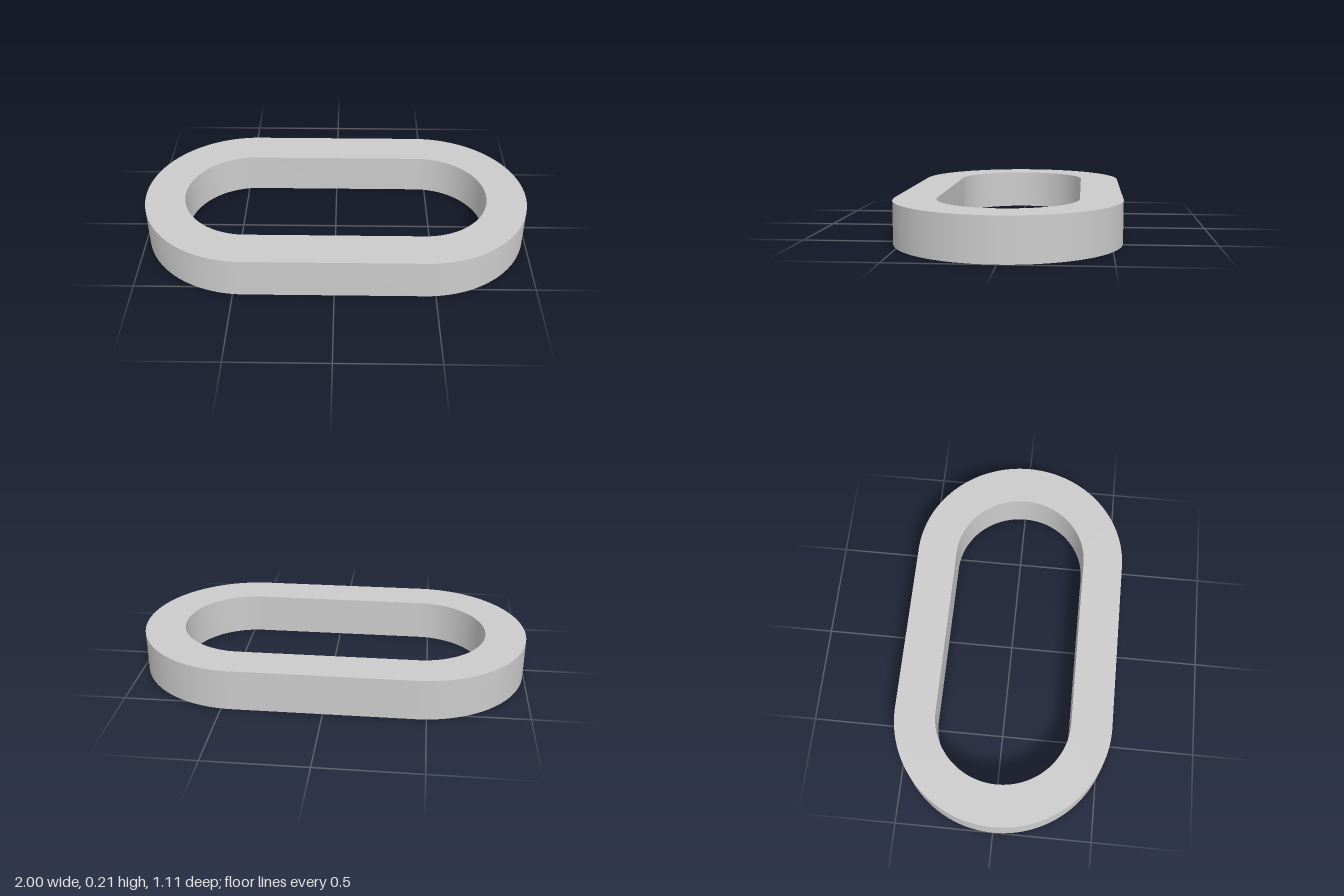
import * as THREE from 'three';
import { toCreasedNormals } from 'three/addons/utils/BufferGeometryUtils.js';

const HALF_STRAIGHT = 0.447; // distance from centre to each end's arc centre
const OUTER_RADIUS = 0.553;
const INNER_RADIUS = 0.345;
const HEIGHT = 0.21;

// Stadium outline: two half circles joined by straight sides
function traceStadium(path, radius) {
  path.absarc(HALF_STRAIGHT, 0, radius, -Math.PI / 2, Math.PI / 2, false);
  path.absarc(-HALF_STRAIGHT, 0, radius, Math.PI / 2, Math.PI * 1.5, false);
  path.closePath();
  return path;
}

export function createModel() {
  const group = new THREE.Group();
  group.name = 'chainLink';

  // Flat oblong ring with an oblong opening
  const outline = traceStadium(new THREE.Shape(), OUTER_RADIUS);
  outline.holes.push(traceStadium(new THREE.Path(), INNER_RADIUS));

  const extruded = new THREE.ExtrudeGeometry(outline, {
    depth: HEIGHT,
    bevelEnabled: false,
    curveSegments: 48,
  });
  extruded.rotateX(-Math.PI / 2);

  // Smooth walls, sharp rims
  const geometry = toCreasedNormals(extruded, Math.PI / 6);
  const ring = new THREE.Mesh(geometry, new THREE.MeshStandardMaterial({ color: 0xcccccc }));
  ring.name = 'oblongRing';
  group.add(ring);

  return group;
}
